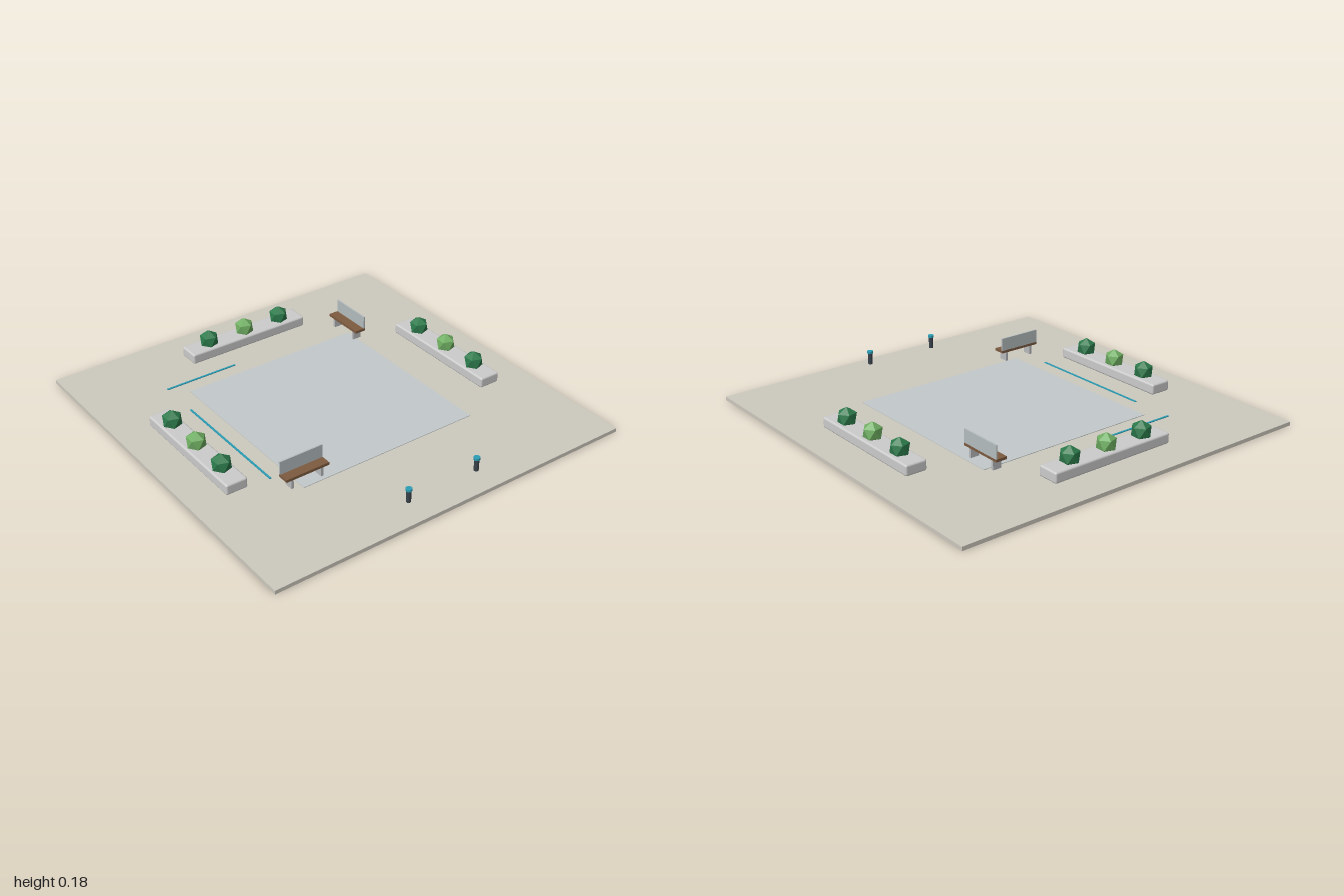
import * as THREE from 'three';
import { RoundedBoxGeometry } from 'three/addons/geometries/RoundedBoxGeometry.js';

const mat = (color, flatShading = false) => new THREE.MeshStandardMaterial({ color, flatShading });
const paving = mat(0xcdc9be), inlay = mat(0xc3c9ca), stone = mat(0xd8d8d5), teal = mat(0x2a9db5);
const wood = mat(0x7d5a3f), panel = mat(0xb4bcbe), metal = mat(0xb8babb), dark = mat(0x39434b);
const darkLeaf = mat(0x2c7a4b, true), lightLeaf = mat(0x6fae62, true);

function add(parent, name, geometry, material, x = 0, y = 0, z = 0) {
  const mesh = new THREE.Mesh(geometry, material);
  mesh.name = name;
  mesh.position.set(x, y, z);
  parent.add(mesh);
  return mesh;
}
const box = (w, h, d) => new THREE.BoxGeometry(w, h, d);

// Long planter with three faceted shrubs, each standing on a vertex
function planter(x, z, turned) {
  const g = new THREE.Group();
  g.name = 'planter';
  const size = turned ? [0.115, 0.056, 0.7] : [0.7, 0.056, 0.115];
  add(g, 'planterBox', new RoundedBoxGeometry(...size, 2, 0.01), stone, 0, 0.052, 0);
  const shrub = new THREE.IcosahedronGeometry(0.053, 0);
  shrub.rotateZ(-Math.atan(2 / (1 + Math.sqrt(5))));
  [-0.22, 0, 0.22].forEach((o) =>
    add(g, 'shrub', shrub, o ? darkLeaf : lightLeaf, turned ? 0 : o, 0.107, turned ? o : 0));
  g.position.set(x, 0, z);
  return g;
}

// Bench with its backrest on the -z side before turning
function bench(x, z, angle) {
  const g = new THREE.Group();
  g.name = 'bench';
  add(g, 'seat', box(0.236, 0.014, 0.06), wood, 0, 0.104, 0);
  add(g, 'backrest', box(0.236, 0.07, 0.008), panel, 0, 0.145, -0.026);
  for (const s of [-1, 1]) add(g, 'leg', box(0.013, 0.052, 0.048), metal, s * 0.082, 0.072, 0);
  g.position.set(x, 0, z);
  g.rotation.y = angle;
  return g;
}

function bollard(x, z) {
  const g = new THREE.Group();
  g.name = 'bollard';
  add(g, 'post', new THREE.CylinderGeometry(0.012, 0.012, 0.062, 16), dark, 0, 0.075, 0);
  add(g, 'cap', new THREE.CylinderGeometry(0.016, 0.016, 0.012, 16), teal, 0, 0.111, 0);
  g.position.set(x, 0, z);
  return g;
}

export function createModel() {
  const model = new THREE.Group();
  model.name = 'plaza';

  // Ground, central square and coloured floor strips
  add(model, 'ground', box(2, 0.02, 2), paving, 0, 0.01, 0);
  add(model, 'centralSquare', box(1, 0.004, 1), inlay, 0, 0.021, 0);
  add(model, 'backStrip', box(0.405, 0.004, 0.01), teal, -0.38, 0.022, -0.582);
  add(model, 'sideStrip', box(0.01, 0.004, 0.705), teal, -0.584, 0.022, 0);

  // Planters on three sides
  model.add(planter(0, -0.762, false), planter(-0.762, 0, true), planter(0.762, 0, true));

  // Benches at opposite corners of the square
  model.add(bench(-0.482, 0.478, 0), bench(0.478, -0.482, -Math.PI / 2));

  // Bollards at the front entrance
  for (const s of [-1, 1]) model.add(bollard(s * 0.2, 0.88));

  return model;
}
